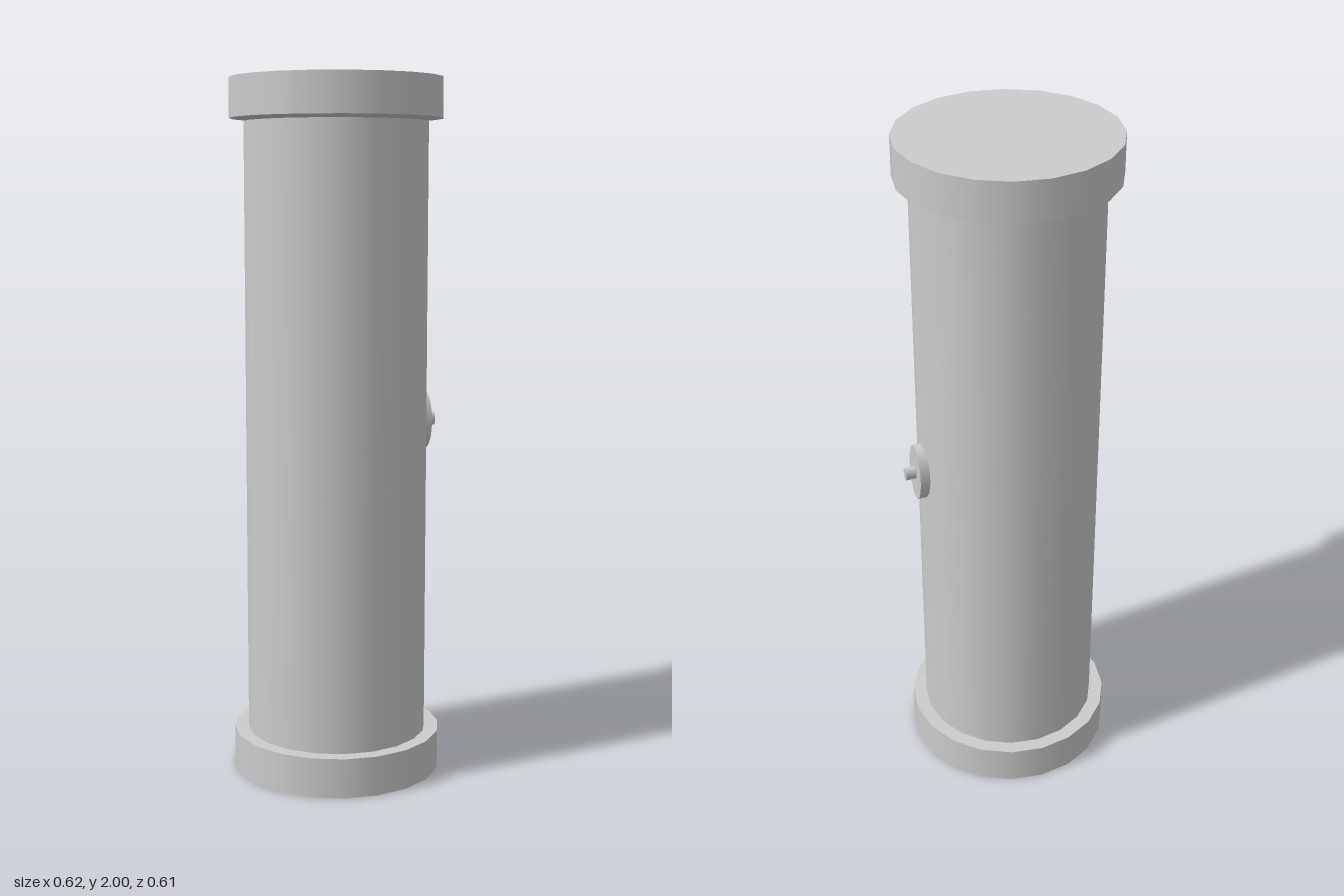
import * as THREE from 'three';

export function createModel() {
  const group = new THREE.Group();
  const material = new THREE.MeshStandardMaterial({ color: 0xcccccc });
  const axisX = -0.005; // the knob sticks out, so the column sits slightly off centre

  // Upright drum with 20 smooth-shaded sides
  function drum(name, radius, y0, y1) {
    const mesh = new THREE.Mesh(new THREE.CylinderGeometry(radius, radius, y1 - y0, 20), material);
    mesh.name = name;
    mesh.rotation.y = Math.PI / 2;
    mesh.position.set(axisX, (y0 + y1) / 2, 0);
    group.add(mesh);
  }

  // Oval disc facing +x
  function oval(name, radiusY, radiusZ, x0, x1) {
    const geometry = new THREE.CylinderGeometry(1, 1, x1 - x0, 32);
    geometry.scale(radiusY, 1, radiusZ);
    geometry.rotateZ(-Math.PI / 2);
    const mesh = new THREE.Mesh(geometry, material);
    mesh.name = name;
    mesh.position.set((x0 + x1) / 2, 1.018, 0);
    group.add(mesh);
  }

  // Column between two wider end caps, with a thin gap under the top one
  drum('bottomCap', 0.303, 0, 0.115);
  drum('column', 0.262, 0.115, 1.88);
  drum('topCap', 0.303, 1.888, 2);

  // Oval plate and pin on the left side
  oval('sidePlate', 0.087, 0.052, 0.245, 0.277);
  oval('sidePin', 0.02, 0.013, 0.27, 0.307);

  return group;
}
